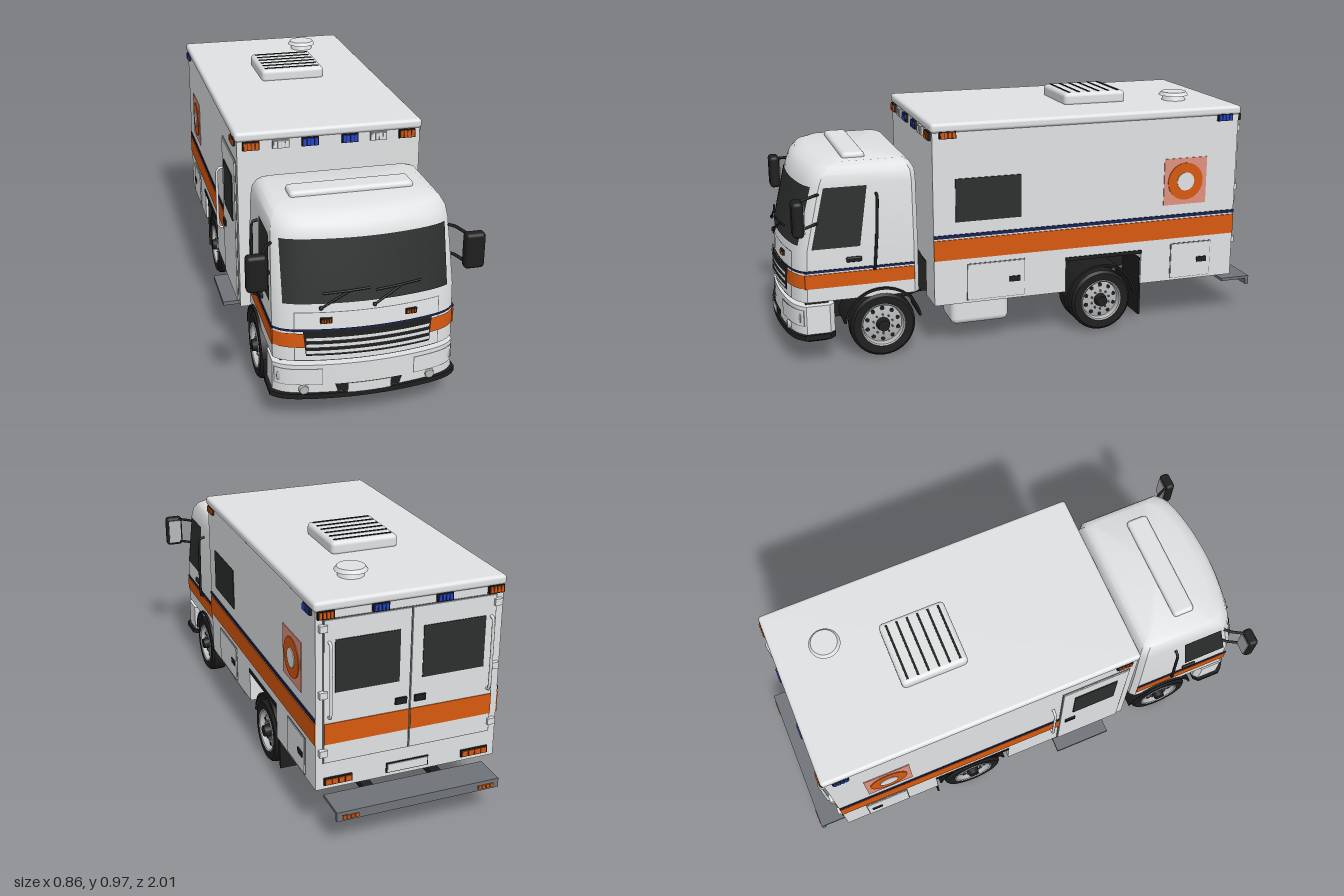
import * as THREE from 'three';
import { toCreasedNormals } from 'three/addons/utils/BufferGeometryUtils.js';
import { RoundedBoxGeometry } from 'three/addons/geometries/RoundedBoxGeometry.js';

const mat = (name, color) => Object.assign(new THREE.MeshStandardMaterial({ color }), { name });
const white = mat('white', 0xdfe1e2), black = mat('black', 0x1e1e1e), glass = mat('dark glass', 0x2c2e2e);
const orange = mat('orange', 0xd8590f), blue = mat('blue', 0x2446c8), navy = mat('navy', 0x17224f);
const grey = mat('grey', 0x6f7378), silver = mat('silver', 0xb6b8ba), pink = mat('pink', 0xe0907e);

const BOW = 0.05, CORNER = 0.03; // plan curvature of the cab front
const CAB = [[0.25, 0.335, 0.985, 0.465], [0.46, 0.335, 0.975, 0.465], [0.70, 0.325, 0.92, 0.467],
  [0.74, 0.319, 0.905, 0.47], [0.768, 0.305, 0.88, 0.485], [0.782, 0.28, 0.84, 0.51]];
const BUMPER = [[0.12, 0.338, 0.99, 0.8], [0.235, 0.338, 0.99, 0.8]];
const LIP = [[0.092, 0.335, 0.985, 0.82], [0.102, 0.35, 1.0, 0.8], [0.122, 0.35, 1.0, 0.8]];

export function createModel() {
  const root = new THREE.Group();
  root.name = 'ambulanceTruck';
  const add = (name, geo, m, x = 0, y = 0, z = 0, parent = root) => {
    const o = new THREE.Mesh(geo, m);
    o.name = name;
    o.position.set(x, y, z);
    parent.add(o);
    return o;
  };
  const box = (name, m, x0, x1, y0, y1, z0, z1, r = 0) => {
    const s = [Math.abs(x1 - x0), y1 - y0, Math.abs(z1 - z0)];
    const g = r ? new RoundedBoxGeometry(...s, 3, r) : new THREE.BoxGeometry(...s);
    return add(name, g, m, (x0 + x1) / 2, (y0 + y1) / 2, (z0 + z1) / 2);
  };
  const V = (x, y, z) => new THREE.Vector3(x, y, z);
  const tube = (name, m, r, pts) => add(name, new THREE.TubeGeometry(
    new THREE.CatmullRomCurve3(pts, false, 'catmullrom', 0.1), 16, r, 8), m);
  const rod = (name, m, r, x0, x1, y, z) => {
    const o = add(name, new THREE.CylinderGeometry(r, r, Math.abs(x1 - x0), 24), m, (x0 + x1) / 2, y, z);
    o.rotation.z = Math.PI / 2;
    return o;
  };
  const both = f => [1, -1].forEach(f);

  // Shell lofted through plan outlines with a bowed front
  const shell = (name, m, levels) => {
    const pos = [], idx = [], N = 32;
    for (const [y, w, zf, zb] of levels) {
      for (let i = 0; i <= N; i++) {
        const u = Math.sin((i / N - 0.5) * Math.PI);
        pos.push(w * u, y, zf - BOW * u * u - CORNER * u ** 12);
      }
      pos.push(w, y, zb + 0.02, w - 0.02, y, zb, -w + 0.02, y, zb, -w, y, zb + 0.02);
    }
    const n = N + 5, L = levels.length;
    [0, L - 1].forEach(j => pos.push(0, levels[j][0], (levels[j][2] + levels[j][3]) / 2));
    for (let i = 0; i < n; i++) {
      const k = (i + 1) % n, t = (L - 1) * n;
      for (let j = 0; j < L - 1; j++) {
        const a = j * n + i, b = j * n + k;
        idx.push(a, b, a + n, b, b + n, a + n);
      }
      idx.push(L * n, k, i, L * n + 1, t + i, t + k);
    }
    const g = new THREE.BufferGeometry();
    g.setAttribute('position', new THREE.Float32BufferAttribute(pos, 3));
    g.setIndex(idx);
    return add(name, toCreasedNormals(g, 0.6), m);
  };
  const frontZ = (levels, x, y) => {
    let j = 0;
    while (j < levels.length - 2 && y > levels[j + 1][0]) j++;
    const a = levels[j], b = levels[j + 1], t = (y - a[0]) / (b[0] - a[0]);
    const u = Math.min(1, Math.abs(x) / (a[1] + (b[1] - a[1]) * t));
    return a[2] + (b[2] - a[2]) * t - BOW * u * u - CORNER * u ** 12;
  };
  // Thin patch following the bowed front; taper narrows its lower edge
  const patch = (name, m, levels, x0, x1, y0, y1, off = 0.004, taper = 1) => {
    const g = new THREE.PlaneGeometry(1, 1, 32, 4), p = g.attributes.position;
    for (let i = 0; i < p.count; i++) {
      const v = p.getY(i) + 0.5, y = y0 + (y1 - y0) * v;
      const x = (x0 + (x1 - x0) * (p.getX(i) + 0.5)) * (taper + (1 - taper) * v);
      p.setXYZ(i, x, y, frontZ(levels, x, y) + off);
    }
    g.computeVertexNormals();
    return add(name, g, m);
  };
  // Segmented lamp facing +z before its turn about y
  const lamp = (name, m, x, y, z, turn, w, h) => {
    const g = new THREE.Group();
    g.name = name;
    add('lampBase', new THREE.BoxGeometry(w, h, 0.012), m === white ? silver : black, 0, 0, 0, g);
    const n = 4, s = (w - 0.006) / n;
    for (let i = 0; i < n; i++)
      add('lampSegment', new THREE.BoxGeometry(s - 0.003, h - 0.006, 0.01), m, (i - (n - 1) / 2) * s, 0, 0.005, g);
    g.position.set(x, y, z);
    g.rotation.y = turn;
    root.add(g);
  };

  // Cab
  shell('cab', white, CAB);
  shell('bumper', white, BUMPER);
  shell('bumperLip', black, LIP);
  box('bumperGap', black, -0.31, 0.31, 0.232, 0.252, 0.82, 0.91);
  patch('windscreen', glass, CAB, -0.302, 0.302, 0.472, 0.696);
  [[-0.265, 0.265, 0.438, 0.441], [-0.265, 0.265, 0.252, 0.255], [-0.267, -0.264, 0.252, 0.441], [0.264, 0.267, 0.252, 0.441]]
    .forEach(a => patch('hatchSeam', grey, CAB, ...a, 0.003));
  patch('frontStripe', orange, CAB, -0.335, 0.335, 0.305, 0.36, 0.005);
  patch('frontPinstripe', navy, CAB, -0.335, 0.335, 0.367, 0.376, 0.005);
  patch('grille', black, CAB, -0.237, 0.237, 0.275, 0.37, 0.008, 0.96);
  [0.283, 0.308, 0.333].forEach(y => patch('grilleSlat', white, CAB, -0.228, 0.228, y, y + 0.013, 0.012));
  both(s => lamp('frontMarker', orange, s * 0.155, 0.408, frontZ(CAB, 0.155, 0.408) + 0.002, s * 0.05, 0.042, 0.02));
  patch('lowerGrille', black, BUMPER, -0.125, 0.125, 0.125, 0.156, 0.003, 0.92);
  patch('frontPlate', silver, BUMPER, -0.081, 0.081, 0.121, 0.16, 0.01);
  patch('frontPlateFace', white, BUMPER, -0.077, 0.077, 0.124, 0.157, 0.012);
  both(s => {
    patch('headlampSeam', grey, BUMPER, s > 0 ? 0.168 : -0.335, s > 0 ? 0.335 : -0.168, 0.155, 0.222, 0.003);
    patch('headlamp', white, BUMPER, s > 0 ? 0.171 : -0.332, s > 0 ? 0.332 : -0.171, 0.158, 0.219, 0.005);
    add('headlampBulb', new THREE.SphereGeometry(0.02, 16, 12).scale(0.8, 1.2, 0.3), silver, s * 0.312, 0.187, 0.933);
    const fog = add('fogLamp', new THREE.CylinderGeometry(0.016, 0.02, 0.02, 20), silver, s * 0.235, 0.137, 0.965);
    fog.rotation.x = Math.PI / 2;
    // Cab side paint, window and fittings
    box('cabStripe', orange, s * 0.334, s * 0.339, 0.305, 0.36, 0.485, 0.91);
    box('cabPinstripe', navy, s * 0.334, s * 0.339, 0.367, 0.376, 0.485, 0.91);
    const c = [[0.46, 0.88], [0.46, 0.695], [0.695, 0.66], [0.695, 0.825]];
    const pts = (s > 0 ? c : c.slice().reverse()).flatMap(([y, z]) => [s * (0.339 - (y - 0.46) / 24), y, z]);
    const g = new THREE.BufferGeometry();
    g.setAttribute('position', new THREE.Float32BufferAttribute(pts, 3));
    g.setIndex([0, 1, 2, 0, 2, 3]);
    g.computeVertexNormals();
    add('cabSideWindow', g, glass);
    box('cabDoorHandle', black, s * 0.333, s * 0.346, 0.4, 0.42, 0.69, 0.75, 0.005);
    tube('cabGrabRail', black, 0.006, [V(s * 0.325, 0.66, 0.625), V(s * 0.35, 0.65, 0.625), V(s * 0.352, 0.5, 0.632), V(s * 0.35, 0.37, 0.642), V(s * 0.33, 0.36, 0.642)]);
    box('mirror', black, s * 0.355, s * 0.431, 0.535, 0.672, 0.912, 0.955, 0.015);
    box('mirrorFace', silver, s * 0.365, s * 0.421, 0.55, 0.657, 0.909, 0.913);
    [0.67, 0.56].forEach(y => tube('mirrorArm', black, 0.006, [V(s * 0.318, y, 0.84), V(s * 0.345, y, 0.87), V(s * 0.375, y - 0.01, 0.93)]));
    const f = (x, y, o = 0.012) => V(x, y, frontZ(CAB, x, y) + o);
    const px = s > 0 ? 0.015 : -0.175;
    tube('wiperArm', black, 0.004, [f(px, 0.46), f(px + 0.05, 0.488), f(px + 0.1, 0.514)]);
    tube('wiperBlade', black, 0.004, [f(px + 0.005, 0.51), f(px + 0.09, 0.515), f(px + 0.175, 0.52)]);
    add('wiperPivot', new THREE.SphereGeometry(0.008, 12, 8), black, px, 0.46, f(px, 0.46).z);
  });
  box('cabRoofPod', white, -0.23, 0.23, 0.77, 0.802, 0.645, 0.735, 0.015);

  // Rear body with skirts leaving the wheel openings
  box('body', white, -0.36, 0.36, 0.335, 0.9, -0.885, 0.412);
  box('bodyRoof', white, -0.368, 0.368, 0.882, 0.92, -0.895, 0.418, 0.014);
  box('bodyFloor', black, -0.35, 0.35, 0.318, 0.334, -0.87, 0.405);
  box('rearPanel', white, -0.36, 0.36, 0.19, 0.335, -0.885, -0.86);
  both(s => {
    box('frontSkirt', white, s * 0.22, s * 0.36, 0.19, 0.335, -0.136, 0.412);
    box('rearSkirt', white, s * 0.22, s * 0.36, 0.19, 0.335, -0.86, -0.468);
    box('archTrim', black, s * 0.35, s * 0.364, 0.322, 0.337, -0.47, -0.134);
    const z1 = s > 0 ? 0.412 : 0.095;
    box('sideStripe', orange, s * 0.359, s * 0.364, 0.375, 0.457, -0.885, z1);
    box('sidePinstripe', navy, s * 0.359, s * 0.364, 0.464, 0.477, -0.885, z1);
    // Square side panel with a round ornament
    box('ornamentPanel', pink, s * 0.359, s * 0.363, 0.52, 0.715, -0.75, -0.56);
    [[0.078, 0.006, orange], [0.038, 0.009, white]].forEach(([r, t, m]) =>
      rod('ornamentDisc', m, r, s * 0.358, s * (0.36 + t), 0.617, -0.655));
    // Storage lockers
    [[-0.785, -0.6], [0.04, 0.28]].slice(0, s > 0 ? 2 : 1).forEach(([a, b]) => {
      box('lockerSeam', grey, s * 0.359, s * 0.362, 0.2, 0.352, a, b);
      box('lockerDoor', white, s * 0.359, s * 0.365, 0.203, 0.349, a + 0.003, b - 0.003);
      box('lockerLatch', black, s * 0.36, s * 0.368, 0.262, 0.285, a + 0.02, a + 0.065);
    });
    lamp('sideFrontLamp', orange, s * 0.364, 0.874, 0.352, s * Math.PI / 2, 0.066, 0.028);
    lamp('sideRearLamp', blue, s * 0.364, 0.874, -0.822, s * Math.PI / 2, 0.066, 0.028);
    [[0.307, orange], [0.192, white], [0.078, blue]].forEach(([x, m]) =>
      lamp('frontLamp', m, s * x, 0.867, 0.416, 0, 0.065, 0.034));
    [[0.325, orange], [0.122, blue]].forEach(([x, m]) => lamp('rearTopLamp', m, s * x, 0.872, -0.892, Math.PI, 0.062, 0.03));
    lamp('tailLamp', orange, s * 0.275, 0.222, -0.888, Math.PI, 0.11, 0.028);
    // Rear doors
    box('rearDoorSeam', grey, s * 0.0005, s * 0.333, 0.297, 0.853, -0.888, -0.88);
    box('rearDoor', white, s * 0.003, s * 0.33, 0.3, 0.85, -0.892, -0.88);
    box('rearWindow', glass, s * 0.045, s * 0.29, 0.575, 0.775, -0.895, -0.89);
    box('rearStripe', orange, s * 0.003, s * 0.33, 0.375, 0.457, -0.895, -0.89);
    box('rearLatch', black, s * 0.015, s * 0.06, 0.485, 0.51, -0.9, -0.89);
    tube('rearRail', white, 0.006, [V(s * 0.312, 0.77, -0.885), V(s * 0.312, 0.76, -0.91), V(s * 0.312, 0.49, -0.91), V(s * 0.312, 0.48, -0.885)]);
    [0.33, 0.56, 0.81].forEach(y => box('rearHinge', white, s * 0.32, s * 0.35, y, y + 0.025, -0.902, -0.885));
  });
  box('bodyWindow', glass, 0.359, 0.364, 0.527, 0.7, 0.056, 0.323);
  box('sideDoorSeam', grey, -0.359, -0.363, 0.2, 0.8, 0.095, 0.385);
  box('sideDoor', white, -0.359, -0.367, 0.203, 0.797, 0.099, 0.381);
  box('sideDoorWindow', glass, -0.36, -0.371, 0.53, 0.72, 0.15, 0.335);
  box('sideDoorLatch', black, -0.36, -0.374, 0.43, 0.455, 0.12, 0.165);
  tube('sideDoorRail', white, 0.006, [V(-0.355, 0.65, 0.06), V(-0.385, 0.64, 0.06), V(-0.385, 0.39, 0.06), V(-0.355, 0.38, 0.06)]);
  box('sideStep', grey, -0.415, -0.3, 0.152, 0.168, 0.08, 0.32);
  [0.12, 0.28].forEach(z => box('sideStepBracket', black, -0.34, -0.3, 0.165, 0.195, z - 0.01, z + 0.01));
  box('rearPlate', black, -0.085, 0.085, 0.205, 0.245, -0.889, -0.88);
  box('rearPlateFace', white, -0.08, 0.08, 0.209, 0.241, -0.892, -0.88);

  // Roof equipment
  box('airConditioner', white, -0.135, 0.135, 0.91, 0.967, -0.476, -0.206, 0.018);
  for (let i = 0; i < 6; i++) box('coolingSlot', black, -0.118, 0.118, 0.962, 0.969, -0.452 + i * 0.043, -0.443 + i * 0.043);
  add('ventStem', new THREE.CylinderGeometry(0.042, 0.05, 0.025, 32), white, 0.15, 0.93, -0.69);
  add('ventCap', new THREE.CylinderGeometry(0.052, 0.062, 0.014, 32), white, 0.15, 0.948, -0.69);

  // Rear step
  box('rearStep', grey, -0.323, 0.323, 0.145, 0.157, -1, -0.87);
  box('rearStepFace', grey, -0.323, 0.323, 0.12, 0.15, -1, -0.985);
  both(s => {
    lamp('rearStepLamp', orange, s * 0.27, 0.135, -0.994, Math.PI, 0.07, 0.02);
    box('rearStepArm', black, s * 0.12, s * 0.16, 0.12, 0.146, -0.97, -0.78);
  });

  // Chassis and running gear
  both(s => {
    box('chassisRail', black, s * 0.095, s * 0.13, 0.175, 0.25, -0.85, 0.88);
    [0.615, -0.3].forEach(z => tube('leafSpring', black, 0.014, [V(s * 0.155, 0.2, z + 0.19), V(s * 0.155, 0.15, z), V(s * 0.155, 0.2, z - 0.19)]));
    box('mudFlap', black, s * 0.18, s * 0.35, 0.05, 0.3, -0.474, -0.466);
  });
  [-0.8, -0.55, -0.1, 0.15, 0.4].forEach(z => box('crossMember', black, -0.12, 0.12, 0.19, 0.24, z - 0.02, z + 0.02));
  box('engine', black, -0.17, 0.17, 0.12, 0.27, 0.5, 0.86);
  box('cabLink', black, -0.13, 0.13, 0.2, 0.34, 0.39, 0.5);
  [0.615, -0.3].forEach(z => rod('axle', black, 0.022, -0.29, 0.29, 0.13, z));
  add('differential', new THREE.SphereGeometry(0.055, 20, 14), black, 0, 0.13, -0.3);
  tube('driveShaft', black, 0.016, [V(0, 0.17, 0.52), V(0, 0.15, 0.1), V(0, 0.13, -0.28)]);
  box('fuelTank', white, 0.15, 0.31, 0.078, 0.2, 0.09, 0.33, 0.025);
  box('batteryBox', black, -0.29, -0.15, 0.1, 0.2, -0.1, 0.07);
  const tank = add('airTank', new THREE.CylinderGeometry(0.045, 0.045, 0.2, 24), grey, -0.2, 0.12, 0.2);
  tank.rotation.x = Math.PI / 2;

  // Wheels
  const P = a => a.map(([r, y]) => new THREE.Vector2(r, y));
  const turned = a => toCreasedNormals(new THREE.LatheGeometry(P(a), 40), 0.5);
  const tyreGeo = turned([[0, -0.03], [0.08, -0.03], [0.085, -0.04], [0.118, -0.04], [0.128, -0.03], [0.13, -0.015],
    [0.13, 0.015], [0.128, 0.03], [0.118, 0.04], [0.086, 0.038], [0.082, 0.02]]);
  const rimGeo = turned([[0.089, 0.037], [0.086, 0.042], [0.081, 0.038], [0.077, 0.016], [0.048, 0.024], [0, 0.024]]);
  const wheel = (s, x, z, rim = true) => {
    const g = new THREE.Group();
    g.name = 'wheel';
    g.position.set(s * x, 0.13, z);
    g.rotation.z = -s * Math.PI / 2;
    root.add(g);
    add('tyre', tyreGeo, black, 0, 0, 0, g);
    if (!rim) return;
    add('rim', rimGeo, silver, 0, 0, 0, g);
    add('hub', new THREE.CylinderGeometry(0.022, 0.028, 0.03, 20), black, 0, 0.036, 0, g);
    for (let i = 0; i < 10; i++) {
      const a = i * Math.PI / 5, c = Math.cos(a), d = Math.sin(a);
      add('rimHole', new THREE.CylinderGeometry(0.0085, 0.0085, 0.006, 12), black, 0.063 * c, 0.019, 0.063 * d, g);
      add('wheelNut', new THREE.CylinderGeometry(0.004, 0.004, 0.01, 6), grey, 0.039 * c, 0.027, 0.039 * d, g);
    }
  };
  // Curved fenders over each wheel
  const arc = new THREE.Shape();
  arc.absarc(0, 0, 0.155, 0.15, Math.PI - 0.15, false);
  arc.absarc(0, 0, 0.146, Math.PI - 0.15, 0.15, true);
  const fenderGeo = new THREE.ExtrudeGeometry(arc, { depth: 0.15, bevelEnabled: false, curveSegments: 20 });
  both(s => {
    wheel(s, 0.305, 0.615);
    wheel(s, 0.31, -0.3);
    wheel(s, 0.22, -0.3, false);
    [0.615, -0.3].forEach(z => {
      add('fender', fenderGeo, black, s > 0 ? 0.195 : -0.345, 0.13, z).rotation.y = Math.PI / 2;
    });
  });
  return root;
}
